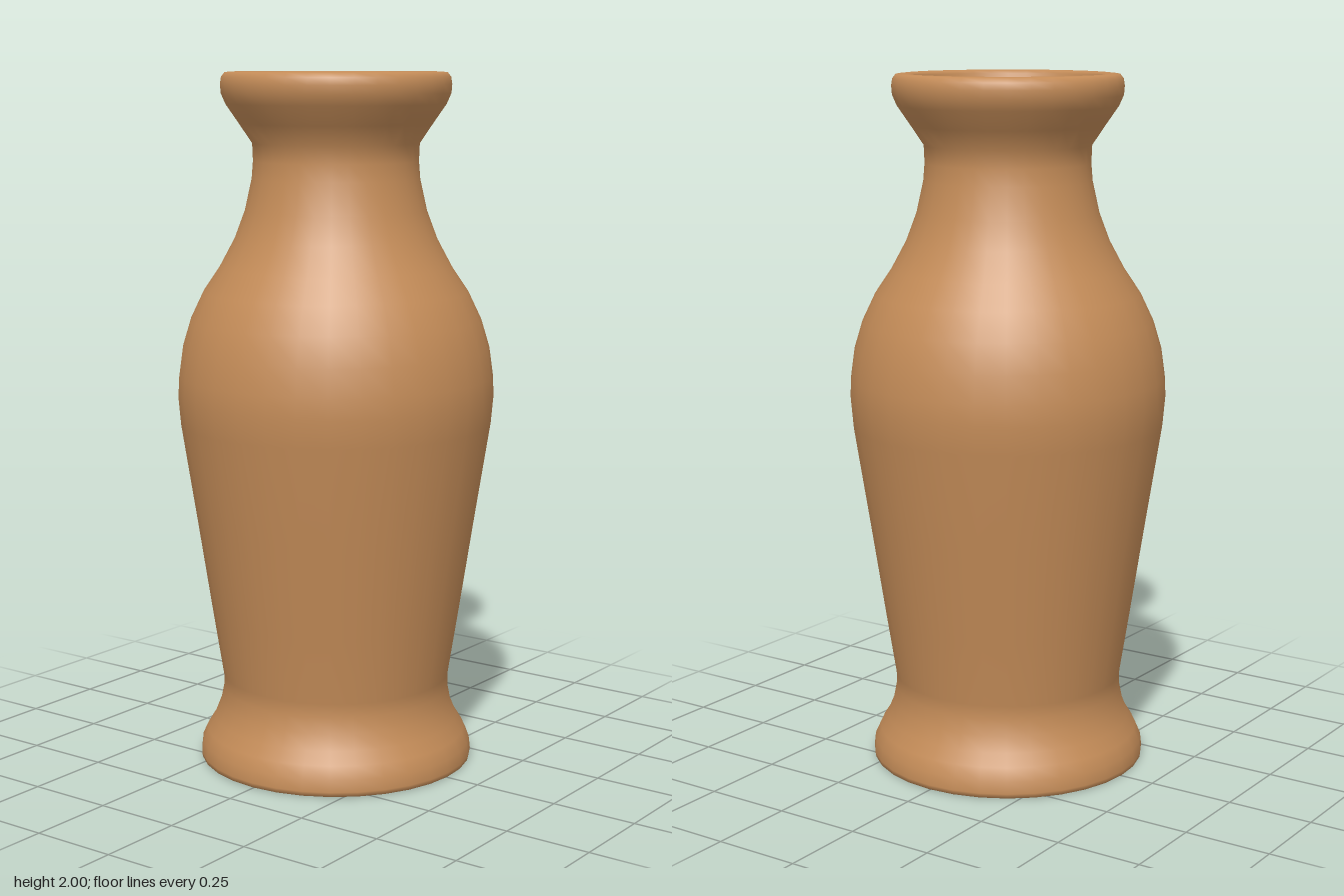
import * as THREE from 'three';

const clay = new THREE.MeshStandardMaterial({ color: 0xc48c58 });
clay.name = 'clay';

// One smooth turned surface from [radius, height] pairs
function turned(name, profile) {
  const points = profile.map(([r, y]) => new THREE.Vector2(r, y));
  const mesh = new THREE.Mesh(new THREE.LatheGeometry(points, 32), clay);
  mesh.name = name;
  return mesh;
}

export function createModel() {
  const vase = new THREE.Group();
  vase.name = 'vase';

  // Underside, foot, belly, shoulder, neck, lip, then back down the hollow inside
  vase.add(turned('vaseBody', [
    // underside and foot
    [0, 0], [0.385, 0], [0.398, 0.002], [0.4, 0.015], [0.396, 0.05],
    [0.38, 0.085], [0.358, 0.12], [0.34, 0.165], [0.331, 0.21], [0.332, 0.25],
    // tapered belly and round shoulder
    [0.362, 0.44], [0.405, 0.72], [0.449, 1.0], [0.456, 1.08], [0.453, 1.14],
    [0.442, 1.22], [0.418, 1.3], [0.38, 1.38], [0.333, 1.45],
    // neck
    [0.29, 1.53], [0.26, 1.61], [0.24, 1.7], [0.236, 1.75], [0.238, 1.8],
    // flared lip
    [0.275, 1.855], [0.313, 1.91], [0.326, 1.94], [0.328, 1.965], [0.325, 1.985],
    [0.315, 1.998], [0.295, 2.0], [0.275, 1.998], [0.264, 1.99],
    // inside of the lip and neck
    [0.255, 1.93], [0.22, 1.87], [0.19, 1.8], [0.187, 1.75], [0.192, 1.69],
    // inside of the shoulder and belly
    [0.215, 1.59], [0.25, 1.5], [0.29, 1.42], [0.36, 1.31], [0.395, 1.2],
    [0.405, 1.08], [0.398, 1.0], [0.355, 0.72], [0.312, 0.44], [0.285, 0.28],
    // bowl-shaped floor
    [0.25, 0.19], [0.19, 0.13], [0.1, 0.09], [0, 0.08],
  ]));

  return vase;
}
